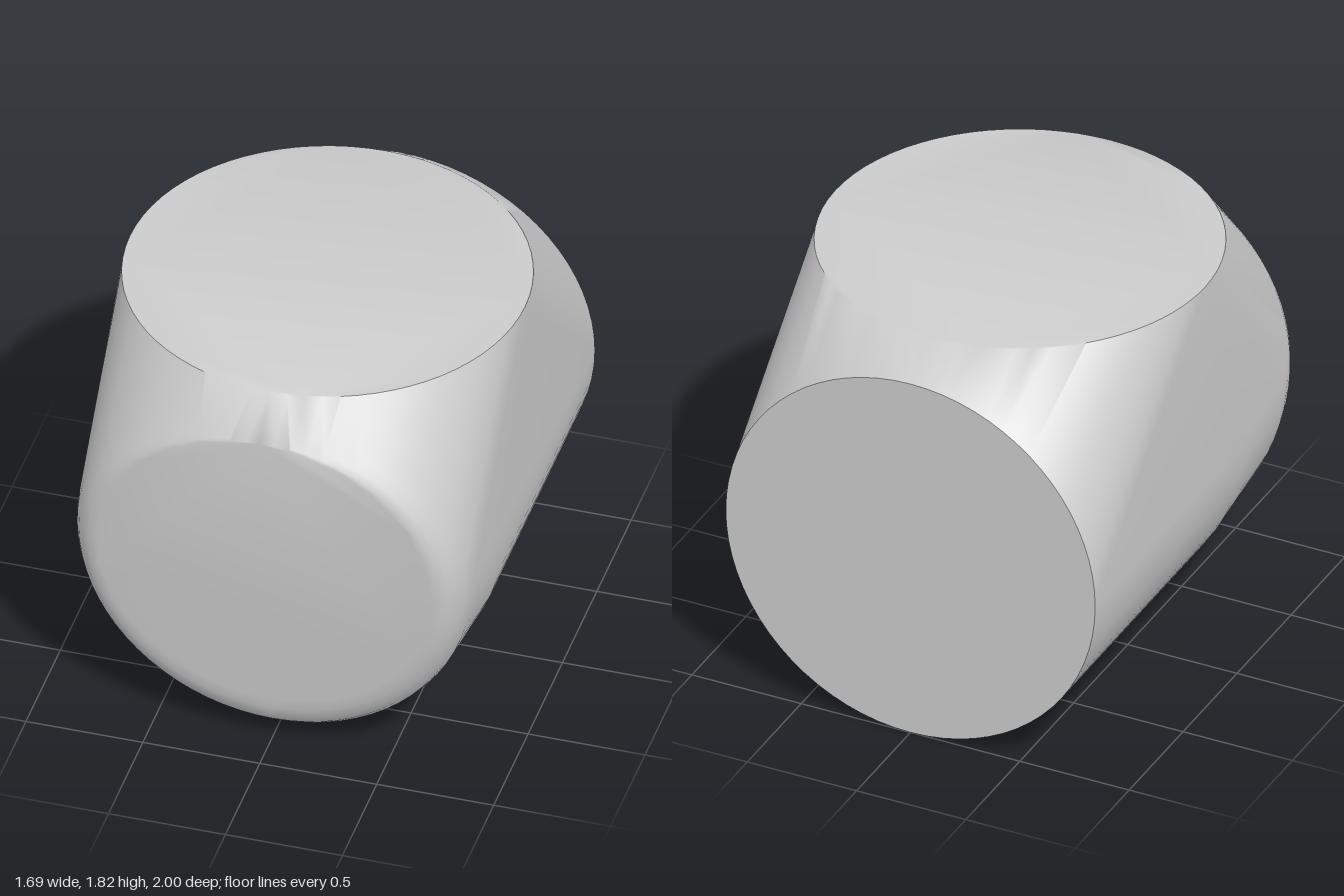
import * as THREE from 'three';
import { ConvexGeometry } from 'three/addons/geometries/ConvexGeometry.js';
import { toCreasedNormals } from 'three/addons/utils/BufferGeometryUtils.js';

const R = 0.845;
const SEGMENTS = 72;

// Adds one closed ring of points; place(cos, sin) gives each position.
function addRing(points, place) {
  for (let i = 0; i < SEGMENTS; i++) {
    const a = (i / SEGMENTS) * Math.PI * 2;
    points.push(place(Math.cos(a), Math.sin(a)));
  }
}

export function createModel() {
  const group = new THREE.Group();
  group.name = 'roundedBlock';
  const points = [];

  // Round top, round back and the end of the straight barrel
  addRing(points, (c, s) => new THREE.Vector3(c * R, 1.82, 0.015 + s * R));
  addRing(points, (c, s) => new THREE.Vector3(c * R, R + s * R, -1));
  addRing(points, (c, s) => new THREE.Vector3(c * R, R + 0.003 + s * R, 0.35));

  // Leaning front face with a filleted rim
  const steps = 6;
  for (let k = 0; k <= steps; k++) {
    const t = (k / steps) * Math.PI / 2;
    const out = Math.sin(t);
    const depth = 0.2 * (1 - Math.cos(t));
    addRing(points, (c, s) => {
      const faceY = 0.95 + 0.7 * s;
      // the rim stays under the sloping upper edge
      const grow = s > 0 ? Math.min(0.13 * out, 1.1 * depth) : 0.21 * out;
      const y = faceY + s * grow;
      const z = 0.94 + 0.06 * s - depth;
      return new THREE.Vector3(c * (0.72 + 0.125 * out), y, z);
    });
  }

  // One taut skin over all rings, soft except at the back rim
  const geometry = toCreasedNormals(new ConvexGeometry(points), 0.9);
  const body = new THREE.Mesh(geometry, new THREE.MeshStandardMaterial({ color: 0xcccccc }));
  body.name = 'body';
  group.add(body);
  return group;
}
